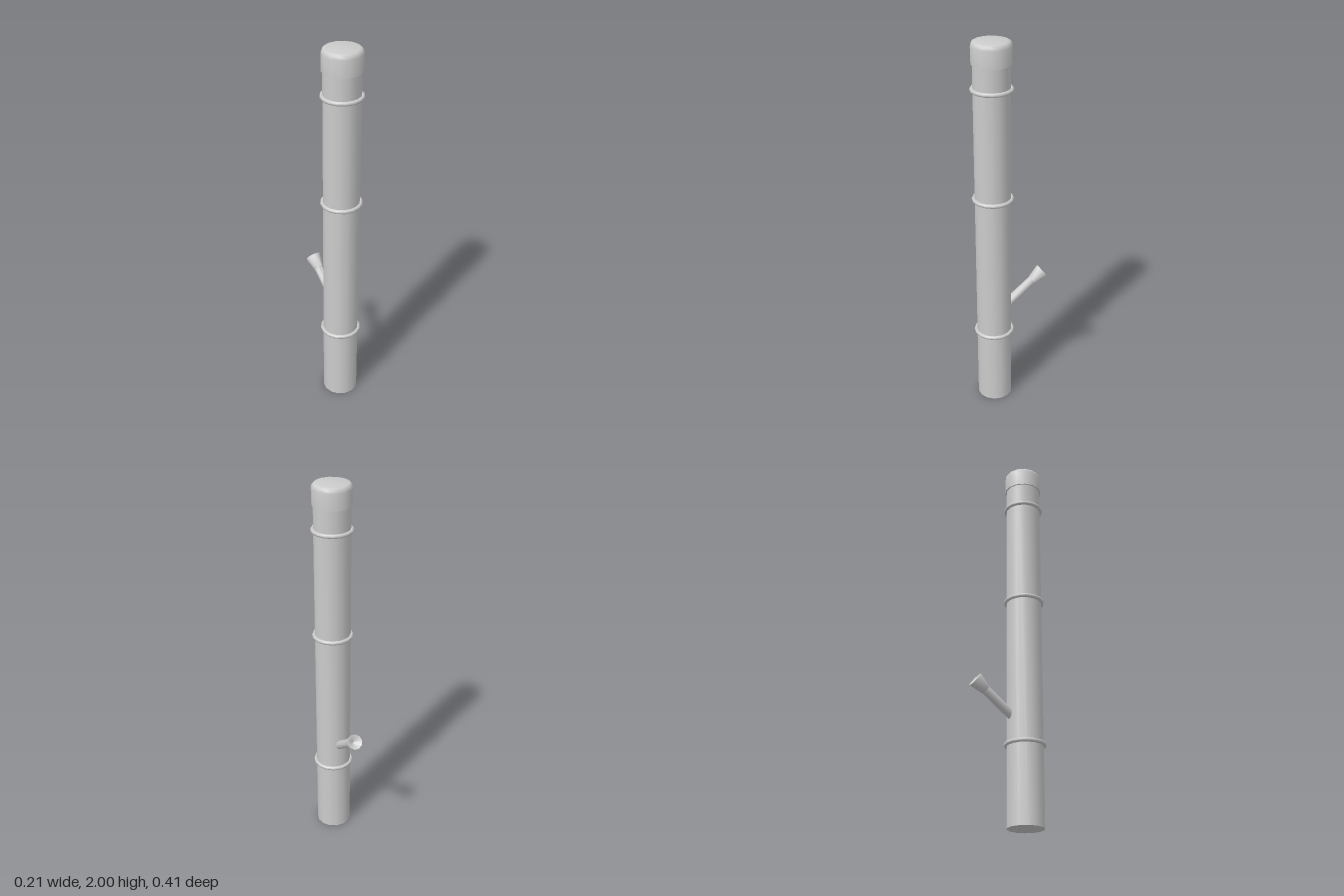
import * as THREE from 'three';
import { toCreasedNormals } from 'three/addons/utils/BufferGeometryUtils.js';

const material = new THREE.MeshStandardMaterial({ color: 0xcccccc });

// Lathed solid with a corner on the x axis; profile runs from bottom to top
function turned(name, profile, sides) {
  const points = profile.map(([r, y]) => new THREE.Vector2(r, y));
  const lathe = new THREE.LatheGeometry(points, sides, Math.PI / 2);
  const mesh = new THREE.Mesh(toCreasedNormals(lathe, 0.8), material);
  mesh.name = name;
  return mesh;
}

export function createModel() {
  const model = new THREE.Group();
  model.name = 'pipe';

  // Upright pipe, its cap and the clamping rings share one axis
  const column = new THREE.Group();
  column.name = 'column';
  column.position.z = 0.1;
  model.add(column);

  column.add(turned('mainPipe', [[0, 0], [0.0925, 0], [0.0925, 1.95], [0, 1.95]], 14));

  // Cap with a softly rounded upper edge
  column.add(turned('cap', [
    [0, 1.89], [0.099, 1.89], [0.1, 1.975], [0.097, 1.988], [0.09, 1.997], [0.08, 2], [0, 2],
  ], 14));

  for (const y of [0.412, 1.196, 1.767]) {
    const ring = new THREE.Mesh(new THREE.TorusGeometry(0.096, 0.011, 8, 16), material);
    ring.name = 'ring';
    ring.rotation.x = Math.PI / 2;
    ring.position.y = y;
    column.add(ring);
  }

  // Slanted side branch at the back, 36 degrees above horizontal
  const branch = new THREE.Group();
  branch.name = 'branch';
  branch.position.set(0, 0.534, 0.05);
  branch.rotation.x = -THREE.MathUtils.degToRad(54);
  model.add(branch);

  branch.add(turned('branchPipe', [[0, 0], [0.024, 0], [0.024, 0.23], [0, 0.23]], 10));

  // Flared mouth with a thin rim and a conical hollow
  branch.add(turned('branchMouth', [
    [0, 0.216], [0.026, 0.216], [0.041, 0.286], [0.04, 0.29], [0.036, 0.289], [0, 0.258],
  ], 10));

  return model;
}
